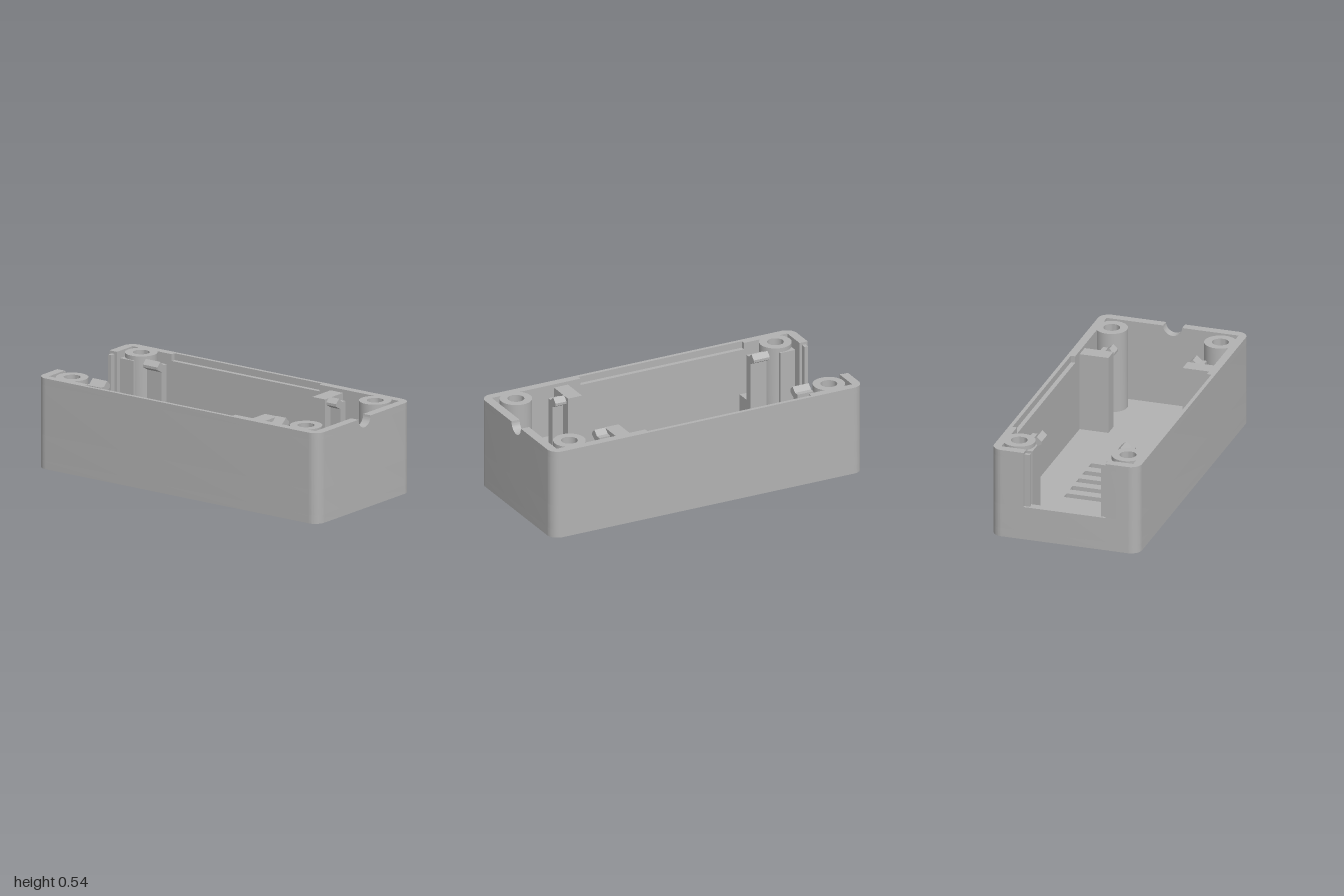
import * as THREE from 'three';
import { toCreasedNormals } from 'three/addons/utils/BufferGeometryUtils.js';

const W = 1, D = 0.442, H = 0.535;        // half width, half depth, height
const IX = 0.948, ID = 0.394;             // inner half width and depth
const R = 0.065, FLOOR = 0.05, SILL = 0.2, STEP = 0.495;

export function createModel() {
  const model = new THREE.Group();
  model.name = 'enclosureBase';
  const grey = new THREE.MeshStandardMaterial({ color: 0xb2b2b2, side: THREE.DoubleSide });
  grey.name = 'grey plastic';

  const add = (name, geometry, x = 0, y = 0, z = 0) => {
    const mesh = new THREE.Mesh(geometry, grey);
    mesh.name = name;
    mesh.position.set(x, y, z);
    model.add(mesh);
    return mesh;
  };
  const box = (name, x0, x1, y0, y1, z0, z1) =>
    add(name, new THREE.BoxGeometry(x1 - x0, y1 - y0, Math.abs(z1 - z0)),
      (x0 + x1) / 2, (y0 + y1) / 2, (z0 + z1) / 2);
  const extrude = (shape, depth) => toCreasedNormals(
    new THREE.ExtrudeGeometry(shape, { depth, bevelEnabled: false, curveSegments: 16 }), 0.6);
  // extrude a plan-view shape upward from y0 to y1
  const slab = (name, shape, y0, y1) =>
    add(name, extrude(shape, y1 - y0).rotateX(-Math.PI / 2), 0, y0, 0);

  const rectHole = (x0, x1, y0, y1) => new THREE.Path([
    [x0, y0], [x0, y1], [x1, y1], [x1, y0]].map(p => new THREE.Vector2(...p)));
  const circleHole = (x, y, r) => new THREE.Path().absarc(x, y, r, 0, Math.PI * 2, true);
  const k = R * 0.448;

  const outline = () => {
    const s = new THREE.Shape();
    s.moveTo(-W + R, -D).lineTo(W - R, -D);
    s.bezierCurveTo(W - k, -D, W, -D + k, W, -D + R).lineTo(W, D - R);
    s.bezierCurveTo(W, D - k, W - k, D, W - R, D).lineTo(-W + R, D);
    s.bezierCurveTo(-W + k, D, -W, D - k, -W, D - R).lineTo(-W, -D + R);
    s.bezierCurveTo(-W, -D + k, -W + k, -D, -W + R, -D);
    return s;
  };

  // half of the upper wall, open at the end panel and at the cable notch
  const halfWall = (s, recessed) => {
    const p = new THREE.Shape();
    p.moveTo(-W, s * 0.245).lineTo(-W, s * (D - R));
    p.bezierCurveTo(-W, s * (D - k), -W + k, s * D, -W + R, s * D).lineTo(W - R, s * D);
    p.bezierCurveTo(W - k, s * D, W, s * (D - k), W, s * (D - R));
    p.lineTo(W, s * 0.06).lineTo(IX, s * 0.06).lineTo(IX, s * ID);
    if (recessed) {
      p.lineTo(0.38, s * ID).lineTo(0.38, s * 0.42);
      p.lineTo(-0.67, s * 0.42).lineTo(-0.67, s * ID);
    }
    p.lineTo(-IX, s * ID).lineTo(-IX, s * 0.245).closePath();
    return p;
  };

  const bossSpots = [];
  for (const x of [-0.835, 0.83]) for (const z of [-0.325, 0.325]) bossSpots.push([x, z]);

  // floor with vents and countersunk screw holes
  const floor = outline();
  for (let i = 0; i < 5; i++) {
    const x = -0.472 + i * 0.111;
    floor.holes.push(rectHole(x, x + 0.053, -0.18, 0.18));
  }
  for (const [x, z] of bossSpots) floor.holes.push(circleHole(x, z, 0.091));
  slab('floor', floor, 0, FLOOR);

  // walls
  const lower = outline();
  lower.holes.push(rectHole(-IX, IX, -ID, ID));
  slab('lowerWall', lower, FLOOR, SILL);
  for (const s of [-1, 1]) {
    slab('upperWall', halfWall(s, false), SILL, STEP);
    slab('rimWall', halfWall(s, true), STEP, H);
    // guide rib in the end opening
    box('panelRib', -0.985, -0.963, SILL, H - 0.015, s * 0.212, s * 0.246);
  }

  // end wall piece with the half-round cable notch
  const notch = new THREE.Shape();
  notch.moveTo(-0.06, SILL).lineTo(0.06, SILL).lineTo(0.06, H).lineTo(0.057, H);
  notch.absarc(0, H, 0.057, 0, -Math.PI, true);
  notch.lineTo(-0.06, H).closePath();
  add('cableNotch', extrude(notch, W - IX).rotateY(Math.PI / 2), IX, 0, 0);

  // screw bosses and countersinks
  const bossShape = new THREE.Shape().absarc(0, 0, 0.093, 0, Math.PI * 2, false);
  bossShape.holes.push(circleHole(0, 0, 0.048));
  const bossGeo = extrude(bossShape, H - FLOOR).rotateX(-Math.PI / 2);
  const sinkGeo = new THREE.CylinderGeometry(0.048, 0.091, FLOOR, 32, 1, true);
  // normals face the hollow side
  sinkGeo.scale(-1, 1, 1);
  sinkGeo.computeVertexNormals();
  for (const [x, z] of bossSpots) {
    add('screwBoss', bossGeo, x, FLOOR, z);
    add('countersink', sinkGeo, x, FLOOR / 2, z);
  }

  // snap clip: upright arm with a wedge hook at its top
  const clip = (x0, x1, s) => {
    const pts = [[0.31, FLOOR], [0.31, 0.5], [0.28, 0.5], [0.25, 0.527],
      [0.222, 0.5], [0.222, 0.485], [0.262, 0.462], [0.262, FLOOR]];
    const shape = new THREE.Shape(pts.map(([d, y]) => new THREE.Vector2(-s * d, y)));
    add('snapClip', extrude(shape, x1 - x0).rotateY(Math.PI / 2), x0, 0, 0);
    box('clipSupport', x0, x1, FLOOR, 0.22, s * 0.31, s * ID);
  };
  for (const s of [-1, 1]) {
    clip(-0.745, -0.642, s);
    clip(0.56, 0.63, s);
    box('boardStop', 0.46, 0.55, FLOOR, 0.515, s * 0.222, s * ID);
    box('bossPost', -0.908, -0.812, FLOOR, 0.51, s * 0.222, s * 0.272);
  }
  return model;
}
